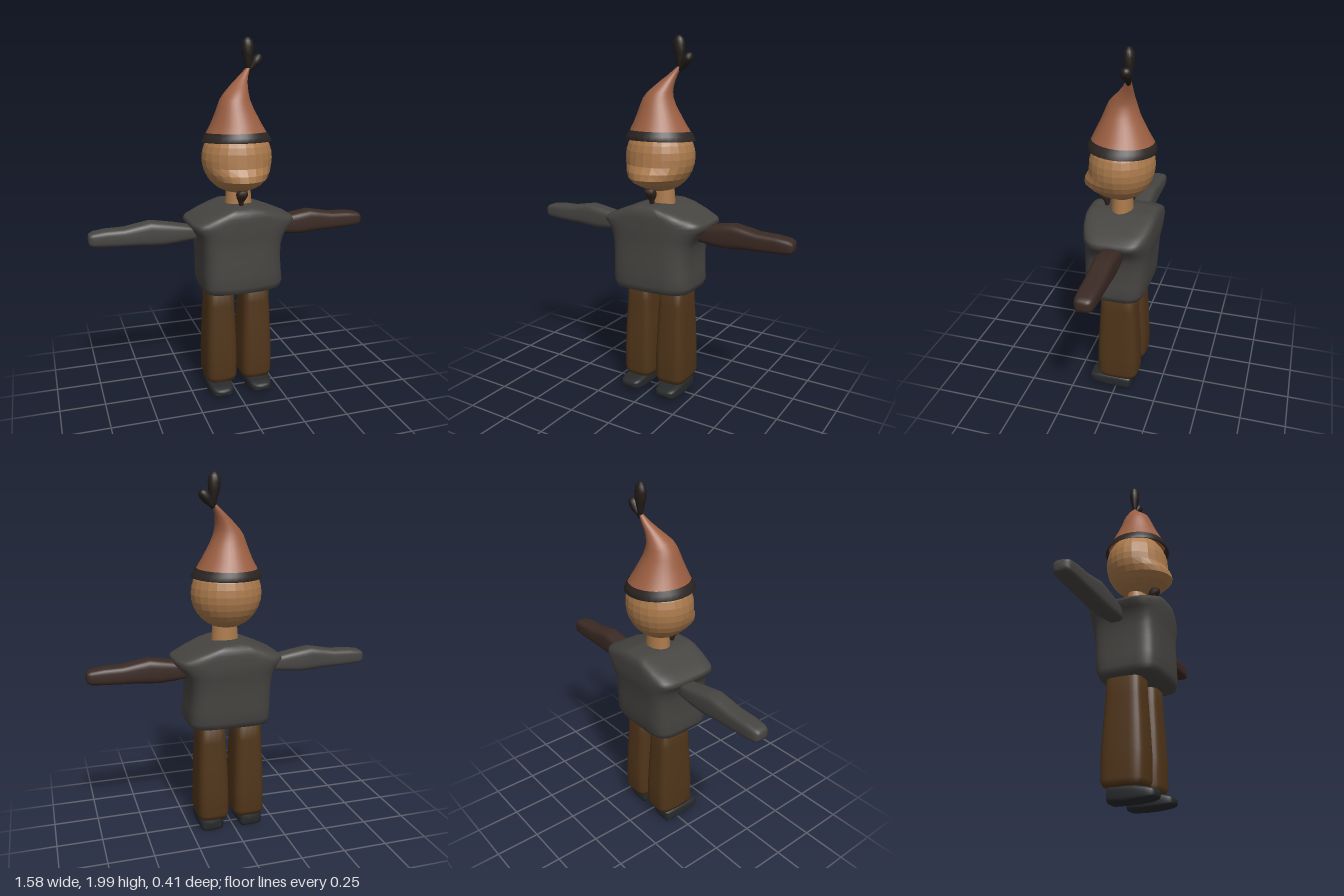
import * as THREE from 'three';

const COLORS = {
  skin: 0xab7a4c, hat: 0x9c5f42, band: 0x2c2623, feather: 0x221c18, beard: 0x33241e,
  shirt: 0x474542, rightSleeve: 0x474542, leftSleeve: 0x3b2a24, trousers: 0x50351a, shoe: 0x27292b,
};

function makeMesh(name, geometry, color, options = {}) {
  const mesh = new THREE.Mesh(geometry, new THREE.MeshStandardMaterial({ color, ...options }));
  mesh.name = name;
  return mesh;
}

// Closed superellipse loft. Each section: [t, aMin, aMax, bMin, bMax], t increasing.
// axis 'y': a = x, b = z.  axis 'x': a = y, b = z.  axis 'z': a = x, b = y.
function loft(sections, axis, { power = 2, sides = 32, warp, capped = true } = {}) {
  const rings = sections.slice();
  if (capped) {
    const point = ([t, a, A, b, B]) => [t, (a + A) / 2, (a + A) / 2, (b + B) / 2, (b + B) / 2];
    rings.unshift(point(sections[0]));
    rings.push(point(sections[sections.length - 1]));
  }
  const round = (v) => Math.sign(v) * Math.abs(v) ** (2 / power);
  const positions = [], index = [];
  rings.forEach(([t, a0, a1, b0, b1], i) => {
    for (let j = 0; j < sides; j++) {
      const angle = (j / sides) * Math.PI * 2;
      const a = (a0 + a1) / 2 + ((a1 - a0) / 2) * round(Math.cos(angle));
      const s = round(Math.sin(angle)) * (axis === 'y' ? -1 : 1);
      const b = (b0 + b1) / 2 + ((b1 - b0) / 2) * s;
      const p = new THREE.Vector3(...(axis === 'y' ? [a, t, b] : axis === 'x' ? [t, a, b] : [a, b, t]));
      if (warp) warp(p);
      positions.push(p.x, p.y, p.z);
      if (i === rings.length - 1) continue;
      const k = (j + 1) % sides, m = i * sides, n = m + sides;
      index.push(m + j, m + k, n + k, m + j, n + k, n + j);
    }
  });
  const geometry = new THREE.BufferGeometry();
  geometry.setAttribute('position', new THREE.Float32BufferAttribute(positions, 3));
  geometry.setIndex(index);
  geometry.computeVertexNormals();
  return geometry;
}

// Round head with a wide jaw pushed forward
function headGeometry() {
  const geometry = new THREE.SphereGeometry(1, 24, 16);
  geometry.scale(0.193, 0.19, 0.176);
  const pos = geometry.attributes.position;
  for (let i = 0; i < pos.count; i++) {
    const y = pos.getY(i), z = pos.getZ(i);
    if (z <= 0) continue;
    const jaw = Math.max(0, 1 - Math.abs(y + 0.12) / 0.09);
    pos.setZ(i, z * (1 + 0.5 * jaw));
  }
  geometry.computeVertexNormals();
  return geometry;
}

export function createModel() {
  const model = new THREE.Group();
  const add = (...args) => {
    const mesh = makeMesh(...args);
    model.add(mesh);
    return mesh;
  };

  // Shirt: sloping shoulders, thinner towards its left side
  const shirt = [
    [0.64, -0.16, 0.22, -0.13, 0.16], [0.65, -0.19, 0.25, -0.155, 0.185],
    [0.685, -0.2, 0.262, -0.17, 0.195], [0.75, -0.2, 0.255, -0.175, 0.195],
    [0.83, -0.2, 0.25, -0.18, 0.193], [0.9, -0.205, 0.255, -0.185, 0.19],
    [0.95, -0.215, 0.275, -0.195, 0.192], [0.99, -0.235, 0.31, -0.2, 0.195],
    [1.02, -0.262, 0.335, -0.2, 0.195], [1.04, -0.25, 0.325, -0.2, 0.195],
    [1.07, -0.185, 0.25, -0.2, 0.195], [1.1, -0.11, 0.165, -0.195, 0.19],
    [1.117, -0.06, 0.1, -0.18, 0.175], [1.122, -0.04, 0.08, -0.15, 0.14],
  ];
  add('shirt', loft(shirt, 'y', {
    power: 5, sides: 48,
    warp: (p) => {
      const t = THREE.MathUtils.clamp((p.x - 0.02) / 0.32, 0, 1);
      p.z *= p.z > 0 ? 1 - 0.38 * t * t : 1 - 0.2 * t ** 3;
    },
  }), COLORS.shirt);

  // Arms held straight out
  const arm = [
    [0.18, 0.93, 1.0, -0.06, 0.02], [0.26, 0.925, 1.01, -0.072, 0.03],
    [0.33, 0.916, 1.025, -0.076, 0.033], [0.4, 0.91, 1.037, -0.078, 0.034],
    [0.46, 0.912, 1.046, -0.078, 0.034], [0.52, 0.918, 1.035, -0.077, 0.032],
    [0.6, 0.921, 1.02, -0.075, 0.03], [0.7, 0.925, 1.017, -0.076, 0.028],
    [0.765, 0.93, 1.008, -0.072, 0.024], [0.785, 0.938, 0.998, -0.062, 0.016],
    [0.79, 0.95, 0.985, -0.045, 0.0],
  ];
  const mirrored = arm.map(([t, ...rest]) => [-t, ...rest]).reverse();
  add('leftArm', loft(arm, 'x', { power: 3.5 }), COLORS.leftSleeve);
  add('rightArm', loft(mirrored, 'x', { power: 3.5 }), COLORS.rightSleeve);

  // Trouser legs and shoes, mirrored about the body's centre line
  const leg = [
    [0.08, -0.06, 0.06, -0.09, 0.08], [0.09, -0.082, 0.082, -0.118, 0.1],
    [0.12, -0.091, 0.091, -0.13, 0.11], [0.25, -0.091, 0.091, -0.13, 0.11],
    [0.4, -0.086, 0.086, -0.122, 0.102], [0.55, -0.079, 0.079, -0.113, 0.092],
    [0.7, -0.074, 0.074, -0.108, 0.086],
  ];
  const shoe = [
    [-0.088, -0.05, 0.05, 0.018, 0.07], [-0.08, -0.066, 0.066, 0.005, 0.088],
    [0, -0.068, 0.068, 0.005, 0.09], [0.06, -0.069, 0.069, 0.008, 0.088],
    [0.12, -0.064, 0.064, 0.015, 0.078], [0.15, -0.054, 0.054, 0.023, 0.07],
    [0.16, -0.038, 0.038, 0.032, 0.062],
  ];
  for (const [side, sign] of [['left', 1], ['right', -1]]) {
    const legMesh = add(`${side}Leg`, loft(leg, 'y', { power: 4 }), COLORS.trousers);
    legMesh.position.x = 0.02 + sign * 0.104;
    const shoeMesh = add(`${side}Shoe`, loft(shoe, 'z', { power: 4 }), COLORS.shoe);
    shoeMesh.position.x = 0.017 + sign * 0.115;
  }

  // Neck and head
  const neck = add('neck', new THREE.CylinderGeometry(0.066, 0.082, 0.2, 16), COLORS.skin);
  neck.position.set(0.032, 1.14, 0);
  neck.scale.z = 0.8;
  const head = add('head', headGeometry(), COLORS.skin, { flatShading: true });
  head.position.set(0.022, 1.37, 0.003);

  // Small pointed chin beard
  const beard = [
    [1.112, 0.01, 0.03, 0.08, 0.1], [1.14, 0.005, 0.035, 0.075, 0.105],
    [1.165, -0.008, 0.048, 0.07, 0.125], [1.185, -0.014, 0.054, 0.075, 0.14],
    [1.205, -0.008, 0.048, 0.08, 0.14],
  ];
  add('beard', loft(beard, 'y', { sides: 10 }), COLORS.beard);

  // Bent pointed hat and its dark band, tipped slightly back
  const tip = (p) => { p.y += 0.05 * p.z * THREE.MathUtils.clamp((1.62 - p.y) / 0.1, 0, 1); };
  const hat = [
    [1.5, -0.148, 0.186, -0.166, 0.168], [1.55, -0.122, 0.155, -0.135, 0.145],
    [1.6, -0.102, 0.128, -0.106, 0.122], [1.64, -0.088, 0.107, -0.086, 0.105],
    [1.68, -0.072, 0.091, -0.074, 0.088], [1.71, -0.05, 0.086, -0.068, 0.072],
    [1.74, -0.02, 0.086, -0.064, 0.042], [1.77, 0.012, 0.09, -0.063, 0.012],
    [1.8, 0.048, 0.098, -0.064, -0.014], [1.83, 0.08, 0.11, -0.062, -0.034],
    [1.845, 0.098, 0.116, -0.058, -0.042],
  ];
  add('hat', loft(hat, 'y', { warp: tip, capped: false }), COLORS.hat, { side: THREE.DoubleSide });
  const band = [
    [1.46, -0.165, 0.207, -0.17, 0.175], [1.46, -0.171, 0.213, -0.183, 0.19],
    [1.485, -0.159, 0.199, -0.175, 0.179], [1.508, -0.147, 0.185, -0.166, 0.168],
  ];
  add('hatBand', loft(band, 'y', { warp: tip, capped: false }), COLORS.band, { side: THREE.DoubleSide });

  // Two feathers growing from the hat tip
  const featherProfile = [
    [0, 0], [0.012, 0], [0.018, 0.04], [0.031, 0.09], [0.034, 0.13], [0.028, 0.16], [0.014, 0.177], [0, 0.18],
  ].map(([r, y]) => new THREE.Vector2(r, y));
  const feathers = [['tallFeather', 1, 0.045, 0.1], ['shortFeather', 0.62, -0.66, 0.105]];
  for (const [name, length, lean, x] of feathers) {
    const feather = add(name, new THREE.LatheGeometry(featherProfile, 16), COLORS.feather);
    feather.position.set(x + (length === 1 ? 0.006 : 0), 1.82, -0.052);
    feather.rotation.z = lean;
    feather.scale.set(length === 1 ? 1 : 0.8, length, 0.85);
  }
  return model;
}
